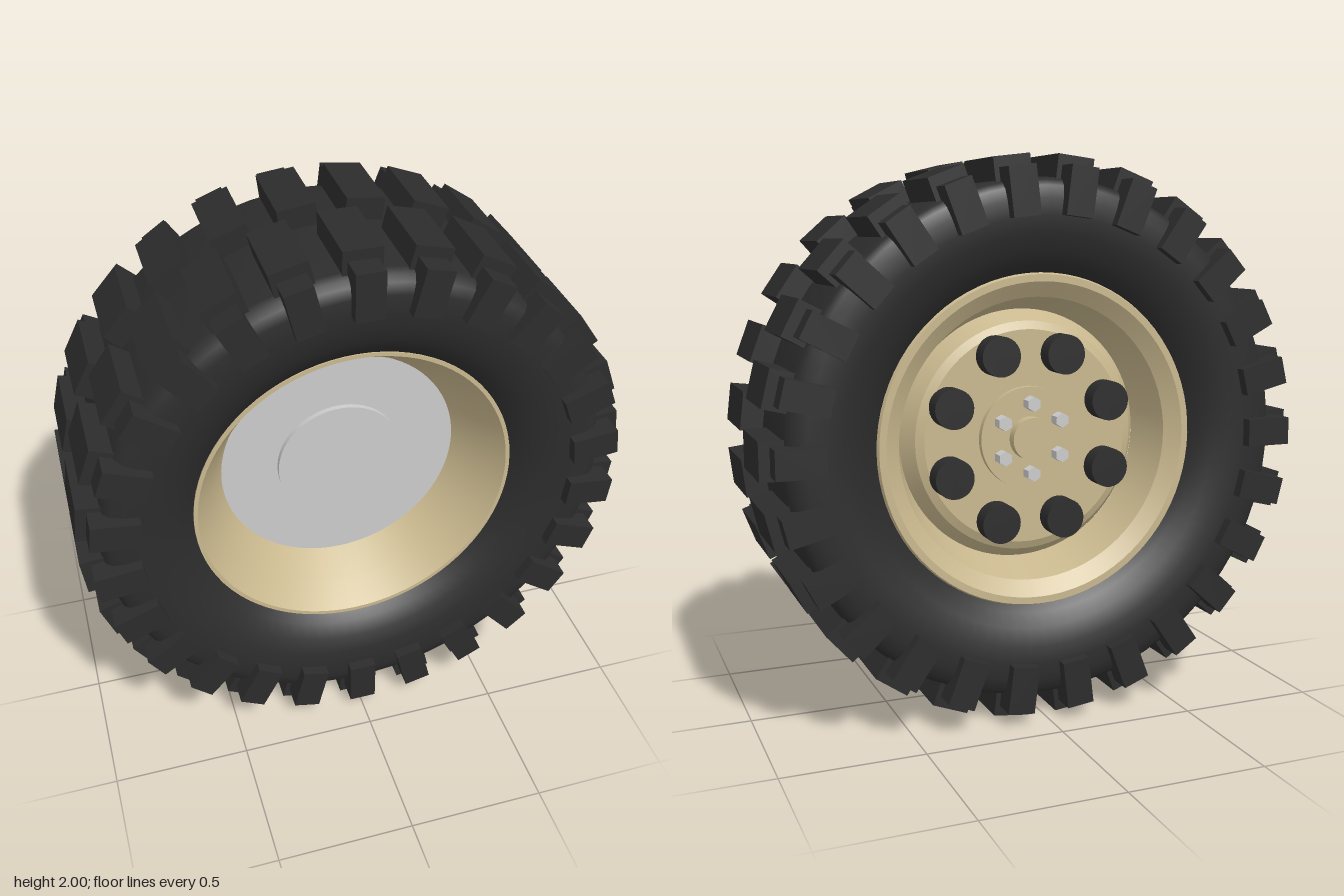
import * as THREE from 'three';
import { toCreasedNormals } from 'three/addons/utils/BufferGeometryUtils.js';

const rubber = new THREE.MeshStandardMaterial({ color: 0x2c2c2d });
const tan = new THREE.MeshStandardMaterial({ color: 0xc9b88e, side: THREE.DoubleSide });
const grey = new THREE.MeshStandardMaterial({ color: 0xcccccc });

export function createModel() {
  const group = new THREE.Group();
  const wheel = new THREE.Group();
  wheel.name = 'wheel';
  wheel.position.y = 1;
  group.add(wheel);

  function add(name, geometry, material, parent = wheel) {
    const mesh = new THREE.Mesh(geometry, material);
    mesh.name = name;
    parent.add(mesh);
    return mesh;
  }

  // Surface turned about the axle, from [radius, z] pairs
  function turned(points, crease) {
    const profile = points.map(([r, z]) => new THREE.Vector2(r, z));
    const geometry = new THREE.LatheGeometry(profile, 80).rotateX(Math.PI / 2);
    return crease ? toCreasedNormals(geometry, crease) : geometry;
  }

  // Cylinder along the axle between two z values
  function disc(radius, z0, z1, sides = 64) {
    return new THREE.CylinderGeometry(radius, radius, z1 - z0, sides)
      .rotateX(Math.PI / 2).translate(0, 0, (z0 + z1) / 2);
  }

  // Places a part several times around the axle, starting from straight up
  function ring(name, count, offset, build) {
    for (let i = 0; i < count; i++) {
      const part = new THREE.Group();
      part.name = name;
      part.rotation.z = ((i + offset) / count) * Math.PI * 2;
      build(part);
      wheel.add(part);
    }
  }

  // Tyre carcass with bulging sidewalls and rounded shoulders
  const sidewall = [[0.585, 0.27], [0.62, 0.305], [0.67, 0.335], [0.73, 0.355],
    [0.79, 0.362], [0.85, 0.36], [0.89, 0.35], [0.91, 0.33], [0.92, 0.3]];
  const back = sidewall.map(([r, z]) => [r, -z]);
  add('tyre', turned([...back, [0.92, 0], ...sidewall.reverse()], 0.7), rubber);

  // Tread lugs: two staggered rows, each lug with a smaller shoulder block
  for (const side of [1, -1]) {
    ring('treadLug', 26, side > 0 ? 0 : 0.5, (part) => {
      const tread = add('treadBlock', new THREE.BoxGeometry(0.135, 0.12, 0.285), rubber, part);
      tread.position.set(0, 0.937, side * 0.1725);
      const shoulder = add('shoulderBlock', new THREE.BoxGeometry(0.1, 0.17, 0.13), rubber, part);
      shoulder.position.set(0, 0.875, side * 0.337);
    });
  }

  // Rim: deep dish at the front, lipped well at the back
  add('frontRim', turned([[0.44, 0.05], [0.51, 0.18], [0.575, 0.28], [0.59, 0.28], [0.59, 0.22]], 0.3), tan);
  add('backRim', turned([[0.59, -0.22], [0.6, -0.27], [0.59, -0.295], [0.565, -0.295],
    [0.51, -0.255], [0.46, -0.09]], 0.5), tan);

  // Inner plate and boss seen through the front dish
  add('innerPlate', disc(0.447, -0.02, 0.06), grey);
  add('innerBoss', disc(0.235, 0.05, 0.08), grey);

  // Wheel face with a sloped edge, hub flange and centre cap at the back
  add('wheelFace', turned([[0.001, -0.165], [0.39, -0.165], [0.42, -0.15], [0.47, -0.07], [0.47, -0.03]], 0.4), tan);
  add('hubFlange', disc(0.186, -0.19, -0.15), tan);
  add('centreCap', disc(0.078, -0.23, -0.18, 40), tan);

  // Dark round pegs on the wheel face
  ring('facePeg', 8, 0.5, (part) => {
    add('peg', disc(0.072, -0.235, -0.14, 28), rubber, part).position.y = 0.325;
  });

  // Hexagonal wheel nuts
  ring('wheelNut', 6, 0, (part) => {
    add('nut', toCreasedNormals(disc(0.027, -0.235, -0.18, 6), 0.3), grey, part).position.y = 0.127;
  });

  return group;
}
